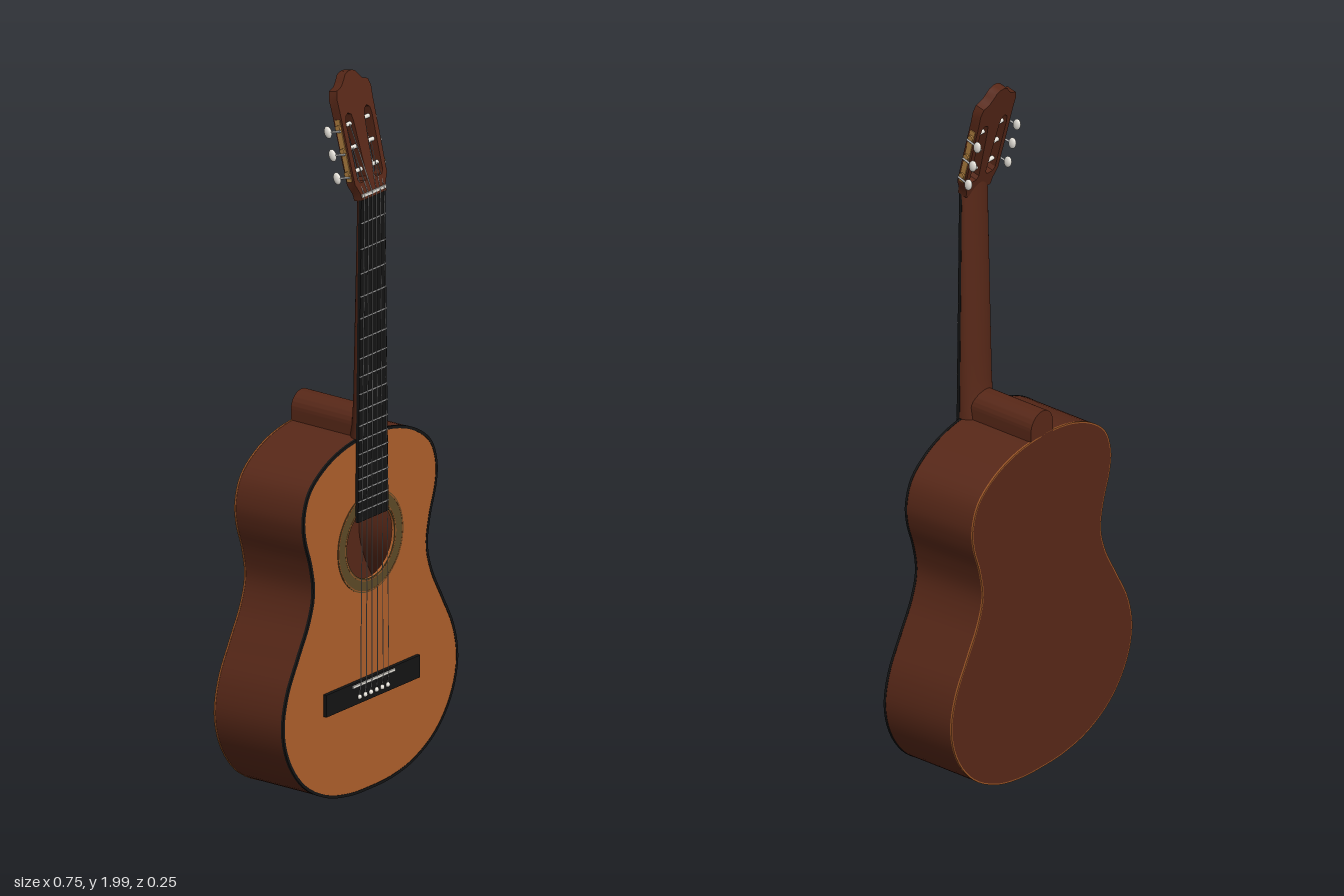
import * as THREE from 'three';
import { toCreasedNormals } from 'three/addons/utils/BufferGeometryUtils.js';

const mat = (color) => new THREE.MeshStandardMaterial({ color });
const V2 = (x, y) => new THREE.Vector2(x, y);
const V3 = (x, y, z) => new THREE.Vector3(x, y, z);

export function createModel() {
  const guitar = new THREE.Group();
  const top = mat(0xb0602c), wood = mat(0x582818), black = mat(0x141414), trim = mat(0x9a5526);
  const rosetteMat = mat(0x5e4a26), ivory = mat(0xe8e4dc), steel = mat(0xb0b0b0), gold = mat(0xb08040);

  const add = (name, geo, material, parent = guitar, pos = [0, 0, 0]) => {
    const mesh = new THREE.Mesh(geo, material);
    mesh.name = name;
    mesh.position.set(...pos);
    parent.add(mesh);
    return mesh;
  };
  const box = (w, h, d) => new THREE.BoxGeometry(w, h, d);
  // Flat shape with holes, extruded from z0 to z1
  const slab = (points, holes, z0, z1) => {
    const shape = new THREE.Shape(points);
    holes.forEach((h) => shape.holes.push(new THREE.Path(h)));
    const geo = new THREE.ExtrudeGeometry(shape, { depth: z1 - z0, bevelEnabled: false });
    return toCreasedNormals(geo.translate(0, 0, z0), 0.5);
  };
  const circle = (r, y) => new THREE.Path().absarc(0, y, r, 0, Math.PI * 2).getPoints(48).slice(0, -1);
  // Thin rod between two points
  const rod = (name, a, b, r, material, parent, sides = 6) => {
    const dir = b.clone().sub(a);
    const mesh = add(name, new THREE.CylinderGeometry(r, r, dir.length(), sides), material, parent);
    mesh.position.copy(a).add(b).multiplyScalar(0.5);
    mesh.quaternion.setFromUnitVectors(V3(0, 1, 0), dir.normalize());
  };

  // Body outline, counter-clockwise, with an inward offset
  const half = [[0.09, 0.012], [0.19, 0.035], [0.285, 0.09], [0.35, 0.175], [0.375, 0.27], [0.358, 0.365],
    [0.31, 0.46], [0.265, 0.545], [0.245, 0.62], [0.257, 0.7], [0.281, 0.775], [0.287, 0.835],
    [0.264, 0.905], [0.2, 0.958], [0.11, 0.992]];
  const loop = [[0, 0.008], ...half, [0, 1.003], ...half.map(([x, y]) => [-x, y]).reverse()];
  const curve = new THREE.CatmullRomCurve3(loop.map(([x, y]) => V3(x, y, 0)), true);
  const outline = (inset) => Array.from({ length: 140 }, (_, i) => {
    const p = curve.getPoint(i / 140), t = curve.getTangent(i / 140);
    return V2(p.x - t.y * inset, p.y + t.x * inset);
  });

  // Body: sides, back, edge bindings and soundboard with an open sound hole
  const holeY = 0.7;
  add('sides', slab(outline(0.001), [outline(0.012)], -0.12, 0.1), wood);
  add('back', slab(outline(0.004), [], -0.125, -0.115), wood);
  add('backBinding', slab(outline(0), [outline(0.004)], -0.125, -0.12), trim);
  add('frontBinding', slab(outline(0), [outline(0.008)], 0.099, 0.106), black);
  add('soundboard', slab(outline(0.008), [circle(0.102, holeY)], 0.097, 0.105), top);
  add('rosette', slab(circle(0.14, holeY), [circle(0.102, holeY)], 0.104, 0.1065), rosetteMat);
  for (const r of [0.106, 0.135]) {
    add('rosetteRing', slab(circle(r + 0.0025, holeY), [circle(r, holeY)], 0.1045, 0.107), trim);
  }

  // Heel: rounded block running back from the neck
  const arch = new THREE.Path().absellipse(0, 1.03, 0.045, 0.045, 0, Math.PI).getPoints(24);
  add('heel', slab([V2(-0.045, 0.97), V2(0.045, 0.97), ...arch], [], -0.125, 0.09), wood);

  // Neck: tapered half round
  const neckGeo = new THREE.CylinderGeometry(1, 1, 0.73, 24, 10, false, Math.PI / 2, Math.PI);
  const np = neckGeo.attributes.position;
  for (let i = 0; i < np.count; i++) {
    const y = np.getY(i) + 1.325, t = (y - 0.96) / 0.73;
    const depth = 0.043 - 0.02 * t + 0.02 * Math.max(0, (1.08 - y) / 0.12) ** 2;
    np.setXYZ(i, np.getX(i) * (0.061 - 0.01 * t), y, 0.108 + np.getZ(i) * depth);
  }
  neckGeo.computeVertexNormals();
  add('neck', neckGeo, wood);

  // Fingerboard, frets and nut
  const nutY = 1.68, endY = 0.77, saddleY = 0.318;
  const boardHalf = (y) => 0.065 - 0.014 * (y - endY) / (nutY - endY);
  add('fingerboard', slab([V2(-0.065, endY), V2(0.065, endY), V2(0.051, nutY), V2(-0.051, nutY)], [], 0.1055, 0.115), black);
  for (let n = 1; n <= 18; n++) {
    const y = nutY - (nutY - saddleY) * (1 - 2 ** (-n / 12));
    add('fret', box(boardHalf(y) * 2, 0.003, 0.002), steel, guitar, [0, y, 0.1155]);
  }
  add('nut', box(0.102, 0.008, 0.014), ivory, guitar, [0, nutY, 0.112]);

  // Bridge and saddle
  add('bridge', box(0.4, 0.062, 0.011), black, guitar, [0, 0.296, 0.11]);
  add('saddle', box(0.18, 0.007, 0.006), ivory, guitar, [0, saddleY, 0.1165]);

  // Tilted headstock with two tapered slots
  const head = new THREE.Group();
  head.name = 'headstock';
  head.position.set(0, nutY, 0.116);
  head.rotation.x = -0.245;
  guitar.add(head);
  const edge = [[0.051, -0.012], [0.054, 0.008], [0.068, 0.035], [0.07, 0.12], [0.071, 0.235], [0.073, 0.27],
    [0.066, 0.291], [0.045, 0.298], [0.033, 0.31], [0.022, 0.324], [0.008, 0.33]];
  const crown = [...edge.map(([x, y]) => V2(x, y)), ...edge.map(([x, y]) => V2(-x, y)).reverse()];
  const slotPts = [[0.014, 0.045], [0.022, 0.035], [0.046, 0.035], [0.053, 0.045], [0.055, 0.2], [0.051, 0.218],
    [0.04, 0.225], [0.028, 0.218], [0.024, 0.2]];
  const slots = [1, -1].map((s) => slotPts.map(([x, y]) => V2(s * x, y)));
  add('headstockPlate', slab(crown, slots, -0.028, 0), wood, head);

  // Tuners: rollers, side plates, stems and buttons
  const tunerY = [0.066, 0.129, 0.192];
  for (const s of [1, -1]) {
    add('tunerPlate', box(0.003, 0.17, 0.016), gold, head, [s * 0.0715, 0.129, -0.014]);
    for (const y of tunerY) {
      rod('roller', V3(s * 0.012, y, -0.014), V3(s * 0.074, y, -0.014), 0.006, ivory, head, 12);
      rod('tunerGear', V3(s * 0.073, y, -0.014), V3(s * 0.078, y, -0.014), 0.008, gold, head, 12);
      rod('tunerStem', V3(s * 0.078, y - 0.008, -0.006), V3(s * 0.081, y - 0.008, -0.042), 0.003, steel, head, 8);
      const button = add('tunerButton', new THREE.SphereGeometry(1, 16, 10), ivory, head, [s * 0.082, y - 0.008, -0.045]);
      button.scale.set(0.007, 0.017, 0.012);
    }
  }

  // Strings from pins over saddle and nut to the rollers
  head.updateMatrixWorld(true);
  for (let i = 0; i < 6; i++) {
    const k = i - 2.5, s = Math.sign(k), rank = 2.5 - Math.abs(k), r = i < 3 ? 0.0014 : 0.001;
    const pin = V3(k * 0.024, 0.284, 0.116), saddle = V3(k * 0.024, saddleY, 0.12);
    const nut = V3(k * 0.0168, nutY, 0.119);
    const roller = head.localToWorld(V3(s * (0.046 - rank * 0.007), tunerY[rank], -0.008));
    add('bridgePin', new THREE.SphereGeometry(0.007, 12, 8), ivory, guitar, pin.toArray());
    [[pin, saddle], [saddle, nut], [nut, roller]].forEach(([a, b]) => rod('string', a, b, r, steel, guitar));
  }
  return guitar;
}
